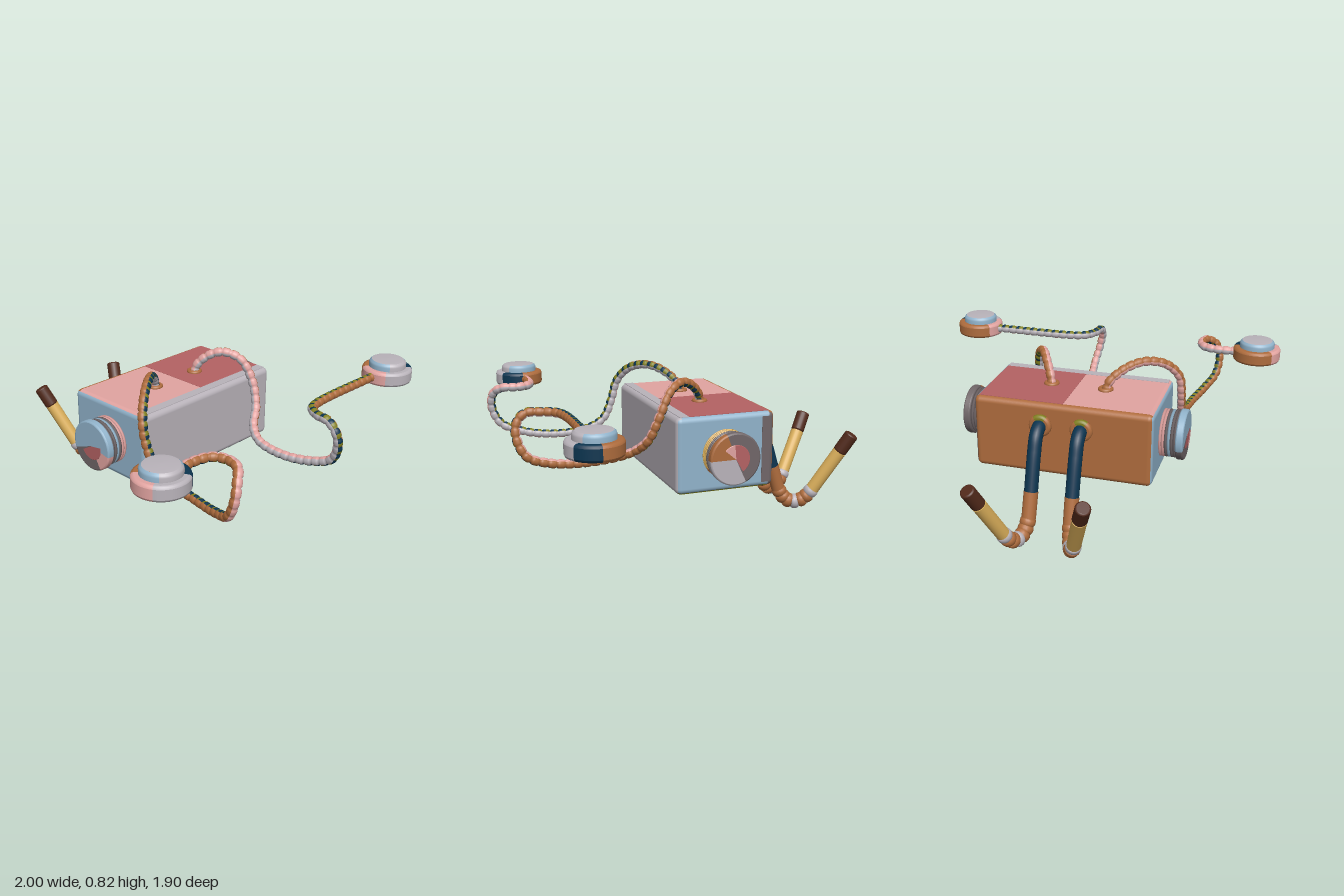
import * as THREE from 'three';
import { RoundedBoxGeometry } from 'three/addons/geometries/RoundedBoxGeometry.js';

const colours = {
  grey: 0xb9b3ba, pink: 0xe2a4a1, red: 0xb46263, blue: 0x91b3cb, orange: 0xae6c3d,
  yellow: 0xdcb05b, navy: 0x0c3550, olive: 0x828020, brown: 0x522a1b, slate: 0x706668,
};
const mats = {};
for (const [name, color] of Object.entries(colours)) {
  mats[name] = new THREE.MeshStandardMaterial({ color });
  mats[name].name = name;
}
const V = (x, y, z) => new THREE.Vector3(x, y, z);
const rad = THREE.MathUtils.degToRad;

function add(parent, name, geometry, material, x = 0, y = 0, z = 0) {
  const m = new THREE.Mesh(geometry, material);
  m.name = name;
  m.position.set(x, y, z);
  parent.add(m);
  return m;
}

// Turned part split into coloured sectors: [colour, from, to] in degrees, from +x towards +z
function turned(parent, name, profile, sectors) {
  const pts = profile.map(([r, y]) => new THREE.Vector2(r, y));
  for (const [colour, a0, a1] of sectors) {
    const segs = Math.max(4, Math.round((a1 - a0) / 7.5));
    add(parent, name, new THREE.LatheGeometry(pts, segs, rad(90 - a1), rad(a1 - a0)), mats[colour]);
  }
}

// Profile of a solid disc with softened rims
const discProfile = (r, y0, y1, b) => [
  [0, y0], [r - b, y0], [r - b, y0], [r - b * 0.3, y0 + b * 0.3], [r, y0 + b], [r, y0 + b],
  [r, y1 - b], [r, y1 - b], [r - b * 0.3, y1 - b * 0.3], [r - b, y1], [r - b, y1], [0, y1]];

// Turned part laid between two points
function rod(parent, name, a, b, profileOf, material) {
  const pts = profileOf(a.distanceTo(b) / 2).map(([r, y]) => new THREE.Vector2(r, y));
  const m = add(parent, name, new THREE.LatheGeometry(pts, 20), material);
  m.position.copy(a).lerp(b, 0.5);
  m.quaternion.setFromUnitVectors(V(0, 1, 0), b.clone().sub(a).normalize());
}

// Rounded box whose edge strips take the colour of the neighbouring face
function bodyShell(parent, w, h, d, r, y, z) {
  const g = new RoundedBoxGeometry(w, h, d, 4, r);
  const faces = ['blue', 'blue', 'pink', 'navy', 'grey', 'orange'];
  const names = Object.keys(colours);
  const p = g.attributes.position, perFace = p.count / 6;
  const ex = w / 2 - r, ez = d / 2 - r;
  g.clearGroups();
  for (let i = 0; i < p.count; i += 3) {
    const f = Math.floor(i / perFace);
    const cx = (p.getX(i) + p.getX(i + 1) + p.getX(i + 2)) / 3;
    const cz = (p.getZ(i) + p.getZ(i + 1) + p.getZ(i + 2)) / 3;
    let colour = faces[f];
    if (f === 2 && cx > ex) colour = 'blue';
    if (f === 3 && cx > ex) colour = 'olive';
    if ((f === 2 || f === 3) && cz < -ez) colour = 'orange';
    if (f === 2 && cz > ez) colour = 'grey';
    if (f === 0 && cz < -ez) colour = 'slate';
    const index = names.indexOf(colour), last = g.groups[g.groups.length - 1];
    if (last && last.materialIndex === index) last.count += 3;
    else g.addGroup(i, 3, index);
  }
  add(parent, 'bodyShell', g, Object.values(mats), 0, y, z);
}

// Beaded cable with coloured strips running along it
function beadedCable(points, side, twist) {
  const curve = new THREE.CatmullRomCurve3(points.map((p) => V(...p)));
  const bead = [0.018, 0.0235, 0.0245, 0.0245, 0.0245, 0.0235];
  const strips = [0, 0, 0, 0, 0, 0, 1, 1, 1, 1, 1, 2, 2, 2, 2, 2, 3, 3, 3, 3];
  const steps = bead.length, ring = strips.length;
  const count = Math.round(curve.getLength() / 0.047) * steps;
  const { normals, binormals } = curve.computeFrenetFrames(count, false);
  const centres = curve.getSpacedPoints(count);

  // Strips are lined up at the lowest point, where the orange one faces outward
  let low = 0;
  centres.forEach((c, i) => { if (c.y < centres[low].y) low = i; });
  const phase = Math.atan2(binormals[low].x * side, normals[low].x * side) - rad(63);

  const pos = [], lists = [[], [], [], [], []];
  for (let i = 0; i <= count; i++) {
    const turn = phase + rad(twist) * Math.max(0, 1 - i / low);
    for (let k = 0; k < ring; k++) {
      const a = turn + k * 2 * Math.PI / ring, r = bead[i % steps];
      const p = centres[i].clone()
        .addScaledVector(normals[i], r * Math.cos(a))
        .addScaledVector(binormals[i], r * Math.sin(a));
      pos.push(p.x, p.y, p.z);
      if (i === count) continue;
      const list = lists[strips[k] === 3 && i % steps >= 3 ? 4 : strips[k]];
      const A = i * ring + k, B = i * ring + (k + 1) % ring;
      list.push(A, B, A + ring, B, B + ring, A + ring);
    }
  }
  const g = new THREE.BufferGeometry();
  g.setAttribute('position', new THREE.Float32BufferAttribute(pos, 3));
  g.setIndex(lists.flat());
  let start = 0;
  lists.forEach((l, i) => { g.addGroup(start, l.length, i); start += l.length; });
  g.computeVertexNormals();
  return g;
}

export function createModel() {
  const model = new THREE.Group();

  // Body: rounded box with one colour per face and thin panels
  const body = new THREE.Group();
  body.name = 'body';
  model.add(body);
  const cy = 0.48, cz = -0.083;
  bodyShell(body, 0.96, 0.4, 0.535, 0.03, cy, cz);
  const panel = (name, colour, w, h, d, x, y, z) =>
    add(body, name, new THREE.BoxGeometry(w, h, d), mats[colour], x, y, z);
  panel('topPanel', 'red', 0.46, 0.003, 0.435, 0.23, 0.68, -0.105);
  panel('topFrontStrip', 'grey', 0.92, 0.003, 0.05, 0, 0.68, 0.1375);
  panel('bottomPanel', 'olive', 0.455, 0.003, 0.48, 0.2275, 0.28, cz);
  panel('endStrip', 'slate', 0.003, 0.35, 0.045, 0.48, cy, -0.302);

  // Ribbed end barrels with a sectored cap
  const ribTones = {
    near: [['yellow', 60, 225], ['blue', 225, 270], ['orange', 270, 420]],
    far: [['slate', 0, 235], ['orange', 235, 360]],
    pink: [['pink', 0, 360]], blue: [['blue', 0, 360]], slate: [['slate', 0, 360]],
  };
  const ends = [
    { side: 1, ribs: ['near', 'near', 'near', 'far', 'slate', 'slate'],
      cap: [['grey', -25, 90], ['orange', 90, 160], ['slate', 160, 335]],
      centre: [['pink', 130, 175], ['red', 175, 330]] },
    { side: -1, ribs: ['pink', 'pink', 'slate', 'blue', 'slate', 'slate'],
      cap: [['blue', -110, 100], ['pink', 100, 150], ['slate', 150, 250]],
      centre: [['red', 80, 240]] },
  ];
  for (const { side, ribs, cap, centre } of ends) {
    const barrel = new THREE.Group();
    barrel.name = side > 0 ? 'leftBarrel' : 'rightBarrel';
    barrel.position.set(side * 0.475, cy, -0.08);
    barrel.rotation.z = -side * Math.PI / 2;
    model.add(barrel);
    ribs.forEach((tone, i) => {
      const y = i * 0.0155;
      turned(barrel, 'barrelRib',
        [[0.112, y], [0.127, y + 0.004], [0.127, y + 0.011], [0.112, y + 0.0155]], ribTones[tone]);
    });
    turned(barrel, 'barrelCap', discProfile(0.135, 0.092, 0.133, 0.008), cap);
    turned(barrel, 'barrelCentre', discProfile(0.075, 0.13, 0.135, 0.002), centre);
  }

  // Cables from the top sockets to the two pads
  const cables = {
    rightCable: [-1, 0, [
      [-0.16, 0.66, -0.07], [-0.175, 0.72, -0.06], [-0.25, 0.785, 0], [-0.34, 0.808, 0.07],
      [-0.44, 0.775, 0.145], [-0.505, 0.69, 0.2], [-0.515, 0.58, 0.23], [-0.51, 0.47, 0.285],
      [-0.51, 0.415, 0.4], [-0.525, 0.4, 0.58], [-0.57, 0.42, 0.75], [-0.615, 0.47, 0.87],
      [-0.625, 0.57, 0.915], [-0.6, 0.65, 0.905], [-0.55, 0.687, 0.86], [-0.53, 0.69, 0.78],
      [-0.56, 0.69, 0.715], [-0.63, 0.69, 0.69], [-0.76, 0.69, 0.69]]],
    leftCable: [1, -20, [
      [0.14, 0.66, -0.07], [0.15, 0.72, -0.06], [0.19, 0.785, 0], [0.23, 0.808, 0.07],
      [0.28, 0.77, 0.15], [0.305, 0.65, 0.215], [0.28, 0.53, 0.265], [0.2, 0.455, 0.32],
      [0.145, 0.415, 0.41], [0.13, 0.4, 0.58], [0.145, 0.42, 0.75], [0.155, 0.47, 0.87],
      [0.135, 0.57, 0.915], [0.12, 0.645, 0.905], [0.12, 0.687, 0.86], [0.135, 0.69, 0.78],
      [0.18, 0.69, 0.715], [0.26, 0.69, 0.69], [0.76, 0.69, 0.69]]],
  };
  const stripMats = [mats.orange, mats.pink, mats.grey, mats.olive, mats.navy];
  for (const [name, [side, twist, points]] of Object.entries(cables)) {
    add(model, name, beadedCable(points, side, twist), stripMats);
    const collar = add(model, 'cableSocket', new THREE.TorusGeometry(0.03, 0.012, 10, 28),
      mats.orange, points[0][0], 0.683, -0.07);
    collar.rotation.x = Math.PI / 2;
  }

  // Round pads, coloured alike on both sides
  for (const side of [-1, 1]) {
    const pad = new THREE.Group();
    pad.name = side > 0 ? 'leftPad' : 'rightPad';
    pad.position.set(side * 0.865, 0, 0.705);
    model.add(pad);
    turned(pad, 'padBase', discProfile(0.135, 0.648, 0.726, 0.014),
      [['navy', 0, 56], ['grey', 56, 150], ['pink', 150, 225], ['orange', 225, 360]]);
    turned(pad, 'padCapSide', [[0.1, 0.72], [0.1, 0.747], [0.096, 0.757], [0.086, 0.765]],
      [['grey', 45, 140], ['blue', 140, 405]]);
    turned(pad, 'padCapTop', [[0.086, 0.765], [0.06, 0.768], [0, 0.769]], [['grey', 0, 360]]);
  }

  // Bent rear legs
  for (const s of [-1, 1]) {
    const leg = new THREE.Group();
    leg.name = s > 0 ? 'leftLeg' : 'rightLeg';
    model.add(leg);
    const P = (x, y, z) => V(s * x, y, z);
    const bar = (r0, r1) => (h) => [[0, -h], [r0, -h], [r0, -h], [r1, h], [r1, h], [0, h]];

    // Socket collar, dark above and olive below
    const socket = new THREE.Group();
    socket.name = 'legSocket';
    socket.position.set(s * 0.11, 0.565, -0.345);
    socket.rotation.x = -Math.PI / 2;
    leg.add(socket);
    turned(socket, 'socketCollar', discProfile(0.06, 0, 0.036, 0.012),
      [['olive', 55, 125], ['orange', 125, 245], ['navy', 245, 295], ['orange', 295, 415]]);

    const upper = new THREE.CatmullRomCurve3([P(0.11, 0.567, -0.33), P(0.11, 0.565, -0.385),
      P(0.11, 0.535, -0.43), P(0.11, 0.46, -0.464), P(0.11, 0.255, -0.528)]);
    add(leg, 'upperLeg', new THREE.TubeGeometry(upper, 32, 0.036, 20), mats.navy);
    rod(leg, 'lowerLeg', P(0.11, 0.265, -0.525), P(0.112, 0.125, -0.567), bar(0.038, 0.038), mats.orange);

    // Ringed elbow
    const elbow = new THREE.CatmullRomCurve3([P(0.112, 0.13, -0.566), P(0.122, 0.07, -0.6),
      P(0.14, 0.048, -0.65), P(0.162, 0.07, -0.705), P(0.187, 0.13, -0.748)]);
    const rings = ['orange', 'orange', 'orange', 'grey', 'orange', 'orange', 'grey'];
    const pts = elbow.getSpacedPoints(rings.length);
    rings.forEach((c, i) => rod(leg, 'elbowRing', pts[i], pts[i + 1], (h) =>
      [[0, -h * 1.2], [0.034, -h * 1.2], [0.041, -h * 0.6], [0.042, 0], [0.041, h * 0.6],
        [0.034, h * 1.2], [0, h * 1.2]], mats[c]));

    // Foot bar and dark tip
    const tip = P(0.253, 0.352, -0.872);
    rod(leg, 'footBar', P(0.185, 0.125, -0.745), tip, bar(0.037, 0.038), mats.yellow);
    rod(leg, 'footTip', tip, P(0.286, 0.455, -0.928), (h) => discProfile(0.039, -h, h, 0.008), mats.brown);
  }
  return model;
}
